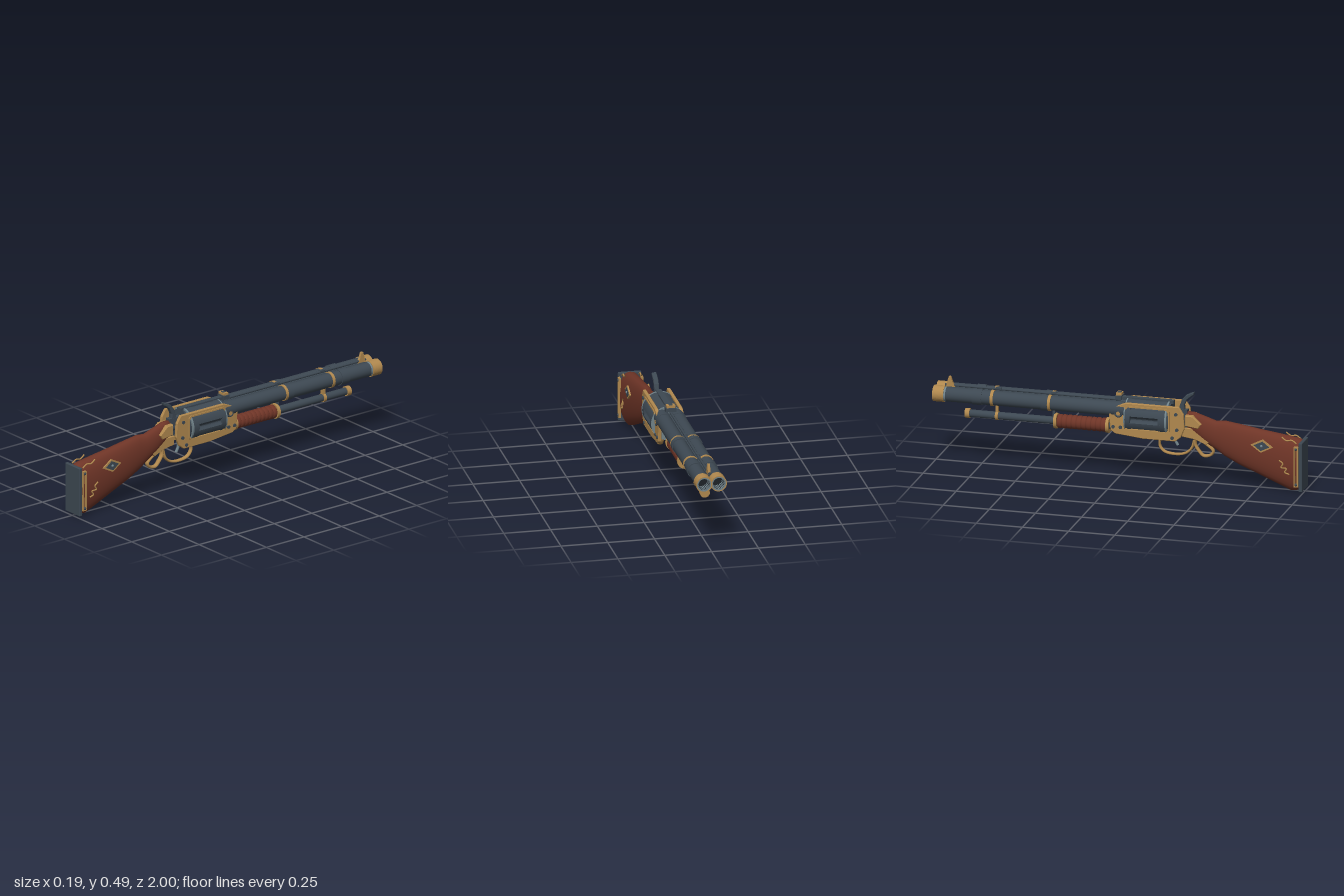
import * as THREE from 'three';
import { RoundedBoxGeometry } from 'three/addons/geometries/RoundedBoxGeometry.js';

const mat = (name, color, extra = {}) => Object.assign(new THREE.MeshStandardMaterial({ color, ...extra }), { name });

export function createModel() {
  const M = {
    iron: mat('blued iron', 0x3d4852),
    brass: mat('brass', 0xb0884e),
    wood: mat('red walnut', 0x6f3527),
    steel: mat('pale steel', 0x71838a),
    black: mat('dark bore', 0x1c2227, { side: THREE.DoubleSide }),
  };
  const root = new THREE.Group();
  root.name = 'revolvingShotgun';

  const add = (name, geo, m, x = 0, y = 0, z = 0) => {
    const mesh = new THREE.Mesh(geo, m);
    mesh.name = name;
    mesh.position.set(x, y, z);
    root.add(mesh);
    return mesh;
  };
  const box = (name, m, w, h, d, x, y, z) => add(name, new THREE.BoxGeometry(w, h, d), m, x, y, z);
  // Cylinder lying along z, from z0 to z1
  const rod = (name, m, r, z0, z1, x, y, sides = 28) =>
    add(name, new THREE.CylinderGeometry(r, r, Math.abs(z1 - z0), sides).rotateX(Math.PI / 2), m, x, y, (z0 + z1) / 2);
  // Outline of [z, y] points extruded across x
  const outline = (pts) => pts.map(([z, y]) => new THREE.Vector2(z, y));
  const plate = (name, m, pts, thick, x = 0, hole = null, bevel = 0) => {
    const s = new THREE.Shape(outline(pts));
    if (hole) s.holes.push(new THREE.Path(outline(hole)));
    const g = new THREE.ExtrudeGeometry(s, {
      depth: thick - 2 * bevel, bevelEnabled: bevel > 0, bevelSize: bevel, bevelThickness: bevel, bevelOffset: -bevel, bevelSegments: 1, curveSegments: 8,
    });
    g.translate(0, 0, -(thick - 2 * bevel) / 2).rotateY(-Math.PI / 2);
    return add(name, g, m, x);
  };
  // Round bar following [z, y] points at a given x
  const bar = (name, m, pts, r, x = 0, closed = false, wide = 1) => {
    const curve = new THREE.CatmullRomCurve3(pts.map(([z, y]) => new THREE.Vector3(0, y, z)), closed);
    return add(name, new THREE.TubeGeometry(curve, 40, r, 8, closed).scale(wide, 1, 1), m, x);
  };
  // Hollow sleeve along z
  const sleeve = (name, m, rIn, rOut, z0, z1, x, y) => {
    const p = [[rIn, z0], [rIn, z1], [rOut, z1], [rOut, z0], [rIn, z0]].map(([r, z]) => new THREE.Vector2(r, z));
    const s = new THREE.Shape().absarc(0, 0, rOut, 0, Math.PI * 2);
    s.holes.push(new THREE.Path().absarc(0, 0, rIn, 0, Math.PI * 2, true));
    const depth = Math.abs(p[1].y - p[0].y);
    const g = new THREE.ExtrudeGeometry(s, { depth, bevelEnabled: false, curveSegments: 28 });
    return add(name, g, m, x, y, Math.min(z0, z1));
  };

  // Twin barrels, bands and muzzles
  const by = 0.379;
  for (const s of [-1, 1]) {
    const x = s * 0.039;
    rod('barrel', M.iron, 0.039, 0.04, -0.93, x, by, 32);
    sleeve('barrelMouth', M.steel, 0.031, 0.039, -0.93, -0.998, x, by);
    add('bore', new THREE.CylinderGeometry(0.0312, 0.0312, 0.064, 24, 1, true).rotateX(Math.PI / 2), M.black, x, by, -0.963);
    add('boreEnd', new THREE.CircleGeometry(0.031, 24), M.black, x, by, -0.932);
    sleeve('muzzleRing', M.brass, 0.038, 0.043, -0.94, -1, x, by);
    for (const [z, w] of [[-0.76, 0.05], [-0.395, 0.035]]) rod('barrelBand', M.iron, 0.043, z - w / 2, z + w / 2, x, by);
    for (const z of [-0.68, -0.37]) rod('brassBand', M.brass, 0.0425, z - 0.008, z + 0.008, x, by);
    rod('breechRing', M.iron, 0.041, 0.035, -0.03, x, by);
  }
  box('barrelWeb', M.iron, 0.02, 0.06, 0.93, 0, by, -0.47);
  rod('topRib', M.iron, 0.007, 0, -0.95, 0, 0.418, 10);
  for (const z of [-0.36, -0.66]) box('ribClip', M.iron, 0.018, 0.01, 0.03, 0, 0.422, z);

  // Sights
  plate('frontSight', M.brass, [[-0.895, 0.41], [-0.91, 0.435], [-0.918, 0.465], [-0.93, 0.465], [-0.945, 0.41]], 0.014);
  box('rearSightBase', M.iron, 0.056, 0.02, 0.035, 0, 0.434, -0.005);
  box('rearSightBlade', M.brass, 0.046, 0.012, 0.03, 0, 0.452, -0.005);
  box('rearSightNotch', M.iron, 0.018, 0.012, 0.02, 0, 0.455, -0.005);

  // Magazine tube, hangers and pump grip
  const ty = 0.272;
  rod('magazineTube', M.iron, 0.02, 0.03, -0.83, 0, ty);
  rod('magazineCap', M.brass, 0.026, -0.815, -0.84, 0, ty);
  box('frontHanger', M.brass, 0.022, 0.08, 0.014, 0, 0.32, -0.668);
  rod('hangerRing', M.brass, 0.024, -0.66, -0.676, 0, ty);
  box('rearHanger', M.iron, 0.022, 0.06, 0.014, 0, 0.32, -0.36);
  const grip = [[0, -0.07], [0.034, -0.07]];
  for (let i = 0; i < 10; i++) {
    const z = -0.075 - i * 0.0265;
    grip.push([0.032, z], [0.037, z - 0.005], [0.037, z - 0.021], [0.032, z - 0.0262]);
  }
  grip.push([0, -0.342]);
  const gripGeo = new THREE.LatheGeometry(grip.reverse().map(([r, z]) => new THREE.Vector2(r, z)), 28).rotateX(Math.PI / 2);
  add('pumpGrip', gripGeo, M.wood, 0, ty);
  for (const z of [-0.066, -0.348]) rod('gripCollar', M.brass, 0.041, z - 0.008, z + 0.008, 0, ty);

  // Fluted revolving cylinder
  const cy = 0.34, flutes = 8, ring = [];
  for (let i = 0; i < 96; i++) {
    const t = (i / 96) * Math.PI * 2;
    const r = 0.093 - 0.014 * Math.max(0, Math.cos(t * flutes));
    ring.push(new THREE.Vector2(r * Math.cos(t), r * Math.sin(t)));
  }
  add('flutedCylinder', new THREE.ExtrudeGeometry(new THREE.Shape(ring), { depth: 0.19, bevelEnabled: false }), M.iron, 0, cy, 0.055);
  rod('cylinderFrontCollar', M.iron, 0.093, 0.045, 0.075, 0, cy, 40);
  rod('cylinderBackCollar', M.iron, 0.093, 0.225, 0.262, 0, cy, 40);
  rod('ratchetRim', M.steel, 0.095, 0.262, 0.272, 0, cy, 40);
  rod('cylinderFrontRim', M.steel, 0.094, 0.04, 0.046, 0, cy, 40);
  rod('recoilDisc', M.iron, 0.086, 0.272, 0.28, 0, cy, 40);
  rod('axlePin', M.iron, 0.02, -0.03, 0.36, 0, cy, 16);
  box('topStrap', M.iron, 0.03, 0.016, 0.30, 0, 0.43, 0.14);
  box('rearSpine', M.iron, 0.03, 0.10, 0.09, 0, 0.345, 0.32);

  // Brass side plates with window, trim and screws
  const frame = [[0.36, 0.385], [0.335, 0.424], [0.05, 0.424], [0, 0.405], [-0.028, 0.402], [-0.045, 0.37],
    [-0.035, 0.27], [-0.01, 0.252], [0.14, 0.236], [0.315, 0.236], [0.345, 0.26], [0.365, 0.31]];
  const win = [[0.265, 0.402], [0.06, 0.402], [0.05, 0.39], [0.05, 0.295], [0.06, 0.284], [0.265, 0.284], [0.277, 0.295], [0.277, 0.39]];
  const grow = (k) => win.map(([z, y]) => [0.1635 + (z - 0.1635) * (1 + k * 0.5), 0.343 + (y - 0.343) * (1 + k)]);
  for (const s of [-1, 1]) {
    plate('sidePlate', M.brass, frame, 0.018, s * 0.064, win, 0.003);
    plate('windowTrim', M.brass, grow(0.14), 0.006, s * 0.075, grow(0.001));
    for (const [z, y] of [[0.32, 0.385], [0.325, 0.30], [0.02, 0.29], [-0.02, 0.29], [0.30, 0.255]]) {
      const g = new THREE.CylinderGeometry(0.009, 0.009, 0.008, 12).rotateZ(Math.PI / 2);
      add('plateScrew', g, M.iron, s * 0.0755, y, z);
    }
    add('pivotRing', new THREE.TorusGeometry(0.018, 0.005, 8, 20).rotateY(Math.PI / 2), M.iron, s * 0.074, 0.365, 0.008);
    add('pivotBoss', new THREE.CylinderGeometry(0.011, 0.011, 0.012, 12).rotateZ(Math.PI / 2), M.brass, s * 0.075, 0.365, 0.008);
  }

  // Hammer and trigger
  plate('hammer', M.iron, [[0.40, 0.492], [0.385, 0.488], [0.355, 0.473], [0.335, 0.45], [0.318, 0.40], [0.31, 0.37],
    [0.35, 0.37], [0.347, 0.42], [0.36, 0.448], [0.375, 0.462], [0.397, 0.478]], 0.026, 0, null, 0.003);
  bar('trigger', M.steel, [[0.30, 0.26], [0.296, 0.225], [0.31, 0.195]], 0.008);

  // Brass wrist, trigger guard and lever loop
  plate('wristBlock', M.brass, [[0.36, 0.372], [0.40, 0.372], [0.448, 0.33], [0.43, 0.305], [0.36, 0.315]], 0.088, 0, null, 0.004);
  plate('wristTang', M.brass, [[0.34, 0.30], [0.40, 0.30], [0.49, 0.235], [0.47, 0.215], [0.41, 0.24], [0.34, 0.25]], 0.05, 0, null, 0.003);
  bar('triggerGuard', M.brass, [[0.40, 0.235], [0.385, 0.185], [0.35, 0.155], [0.29, 0.146], [0.235, 0.158], [0.212, 0.19], [0.22, 0.24]], 0.007, 0, false, 1.8);
  bar('leverLoop', M.brass, [[0.41, 0.24], [0.465, 0.215], [0.503, 0.18], [0.49, 0.158], [0.452, 0.15], [0.425, 0.175], [0.405, 0.21]], 0.008, 0, true, 1.8);

  // Stock from rounded sections: [z, bottom, top, half width]
  const sections = [[0.36, 0.30, 0.386, 0.022], [0.40, 0.268, 0.384, 0.03], [0.46, 0.225, 0.365, 0.033], [0.52, 0.192, 0.345, 0.035],
    [0.57, 0.158, 0.35, 0.039], [0.65, 0.118, 0.338, 0.044], [0.75, 0.078, 0.322, 0.049], [0.85, 0.036, 0.308, 0.054],
    [0.93, 0.004, 0.296, 0.058], [0.955, 0.006, 0.292, 0.059], [0.985, 0.02, 0.282, 0.06]];
  const N = 28, pos = [], idx = [];
  const soft = (v) => Math.sign(v) * Math.abs(v) ** 0.8;
  for (const [z, b, t, w] of sections)
    for (let j = 0; j < N; j++) {
      const a = (j / N) * Math.PI * 2;
      pos.push(w * soft(Math.cos(a)), (b + t) / 2 + ((t - b) / 2) * Math.sin(a), z);
    }
  for (let i = 0; i < sections.length - 1; i++)
    for (let j = 0; j < N; j++) {
      const a = i * N + j, b = i * N + ((j + 1) % N);
      idx.push(a, b, a + N, b, b + N, a + N);
    }
  const front = pos.length / 3;
  pos.push(0, 0.343, 0.36);
  for (let j = 0; j < N; j++) idx.push(front, (j + 1) % N, j);
  const stock = new THREE.BufferGeometry();
  stock.setAttribute('position', new THREE.Float32BufferAttribute(pos, 3));
  stock.setIndex(idx);
  stock.computeVertexNormals();
  add('stock', stock, M.wood);

  // Butt plate with brass edging and screws
  add('buttPlate', new RoundedBoxGeometry(0.124, 0.268, 0.02, 2, 0.005), M.iron, 0, 0.147, 0.99);
  for (const s of [-1, 1]) {
    plate('buttFrame', M.brass, [[0.955, 0.04], [0.98, 0.04], [0.98, 0.26], [0.955, 0.26]], 0.012, s * 0.06,
      [[0.962, 0.055], [0.973, 0.055], [0.973, 0.245], [0.962, 0.245]]);
    for (const y of [0.053, 0.247]) add('buttScrew', new THREE.SphereGeometry(0.008, 10, 8), M.iron, s * 0.064, y, 0.967);

    // Diamond inlay and scrollwork
    const diamond = (k) => [[0.78 - 0.06 * k, 0.25], [0.785, 0.25 + 0.033 * k], [0.78 + 0.06 * k, 0.244], [0.775, 0.244 - 0.033 * k]];
    const d = [plate('diamondInlay', M.brass, diamond(1), 0.008, s * 0.055), plate('diamondStone', M.iron, diamond(0.7), 0.009, s * 0.057)];
    d.push(add('diamondStud', new THREE.SphereGeometry(0.008, 10, 8), M.steel, s * 0.06, 0.247, 0.78));
    bar('scroll', M.brass, [[0.93, 0.105], [0.905, 0.115], [0.915, 0.135], [0.885, 0.14], [0.895, 0.16], [0.875, 0.178]], 0.004, s * 0.058);
    bar('topScroll', M.brass, [[0.965, 0.272], [0.94, 0.288], [0.91, 0.285], [0.885, 0.302]], 0.004, s * 0.045);
  }
  return root;
}
